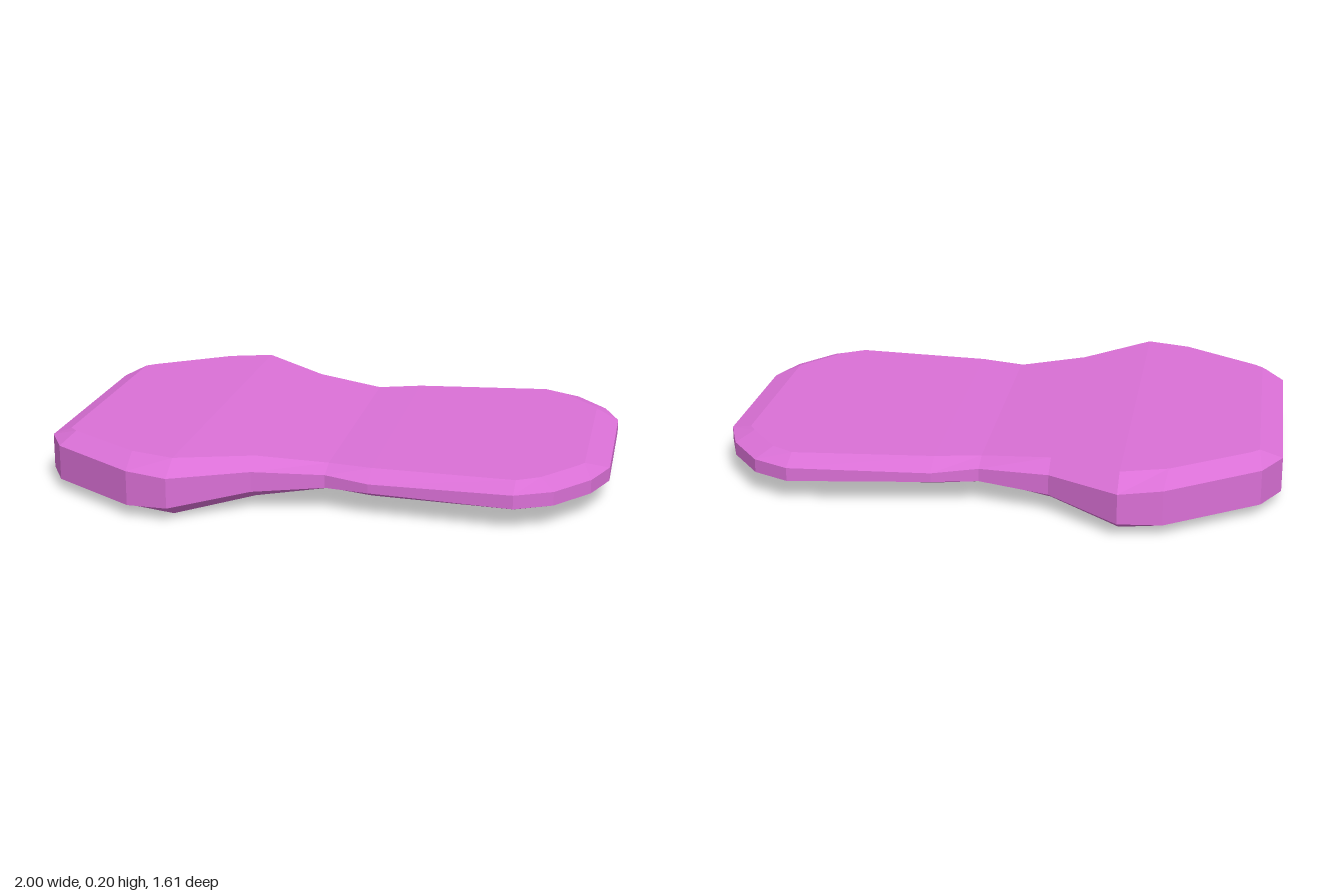
import * as THREE from 'three';

const MID = 0.102; // height of the slab's mirror plane

// Front half of the outline, left edge to right edge:
// [rim x, rim z, rim half height, face x, face z, face half height]
const STATIONS = [
  [-1.00, 0.415, 0.062, -0.92, 0.445, 0.100],
  [-0.93, 0.545, 0.062, -0.89, 0.475, 0.100],
  [-0.61, 0.772, 0.061, -0.62, 0.665, 0.100],
  [-0.46, 0.803, 0.053, -0.46, 0.715, 0.100],
  [-0.21, 0.625, 0.036, -0.21, 0.552, 0.073],
  [0.04, 0.570, 0.023, 0.04, 0.500, 0.046],
  [0.20, 0.618, 0.016, 0.20, 0.540, 0.050],
  [0.70, 0.661, 0.024, 0.70, 0.580, 0.052],
  [0.83, 0.596, 0.024, 0.78, 0.530, 0.052],
  [0.945, 0.445, 0.024, 0.89, 0.385, 0.052],
  [1.00, 0.295, 0.024, 0.915, 0.345, 0.052],
];

function facetedMesh(name, quads, material) {
  const positions = [];
  for (const [a, b, c, d] of quads) positions.push(...a, ...b, ...c, ...a, ...c, ...d);
  const geometry = new THREE.BufferGeometry();
  geometry.setAttribute('position', new THREE.Float32BufferAttribute(positions, 3));
  geometry.computeVertexNormals();
  const mesh = new THREE.Mesh(geometry, material);
  mesh.name = name;
  return mesh;
}

export function createModel() {
  const group = new THREE.Group();
  group.name = 'contouredSlab';
  const orchid = new THREE.MeshStandardMaterial({ color: 0xda70d6 });
  orchid.name = 'orchid';
  orchid.flatShading = true;

  // Full outline: front half, then its mirror back along -z
  const back = STATIONS.map(([x, z, h, fx, fz, fh]) => [x, -z, h, fx, -fz, fh]).reverse();
  const loop = [...STATIONS, ...back];
  const n = loop.length;
  const rim = (i, s) => { const [x, z, h] = loop[i % n]; return [x, MID + s * h, z]; };
  const face = (i, s) => { const p = loop[i % n]; return [p[3], MID + s * p[5], p[4]]; };

  // Upright rim and the bevels above and below it
  const wall = [], upperBevel = [], lowerBevel = [];
  for (let i = 0; i < n; i++) {
    const j = i + 1;
    wall.push([rim(i, -1), rim(j, -1), rim(j, 1), rim(i, 1)]);
    upperBevel.push([rim(i, 1), rim(j, 1), face(j, 1), face(i, 1)]);
    lowerBevel.push([face(i, -1), face(j, -1), rim(j, -1), rim(i, -1)]);
  }

  // Broad faces, as strips running from front to back
  const top = [], bottom = [];
  for (let i = 0; i < STATIONS.length - 1; i++) {
    const b = n - 1 - i;
    top.push([face(i, 1), face(i + 1, 1), face(b - 1, 1), face(b, 1)]);
    bottom.push([face(b, -1), face(b - 1, -1), face(i + 1, -1), face(i, -1)]);
  }

  group.add(
    facetedMesh('rim', wall, orchid),
    facetedMesh('upperBevel', upperBevel, orchid),
    facetedMesh('lowerBevel', lowerBevel, orchid),
    facetedMesh('topFace', top, orchid),
    facetedMesh('bottomFace', bottom, orchid),
  );
  return group;
}
